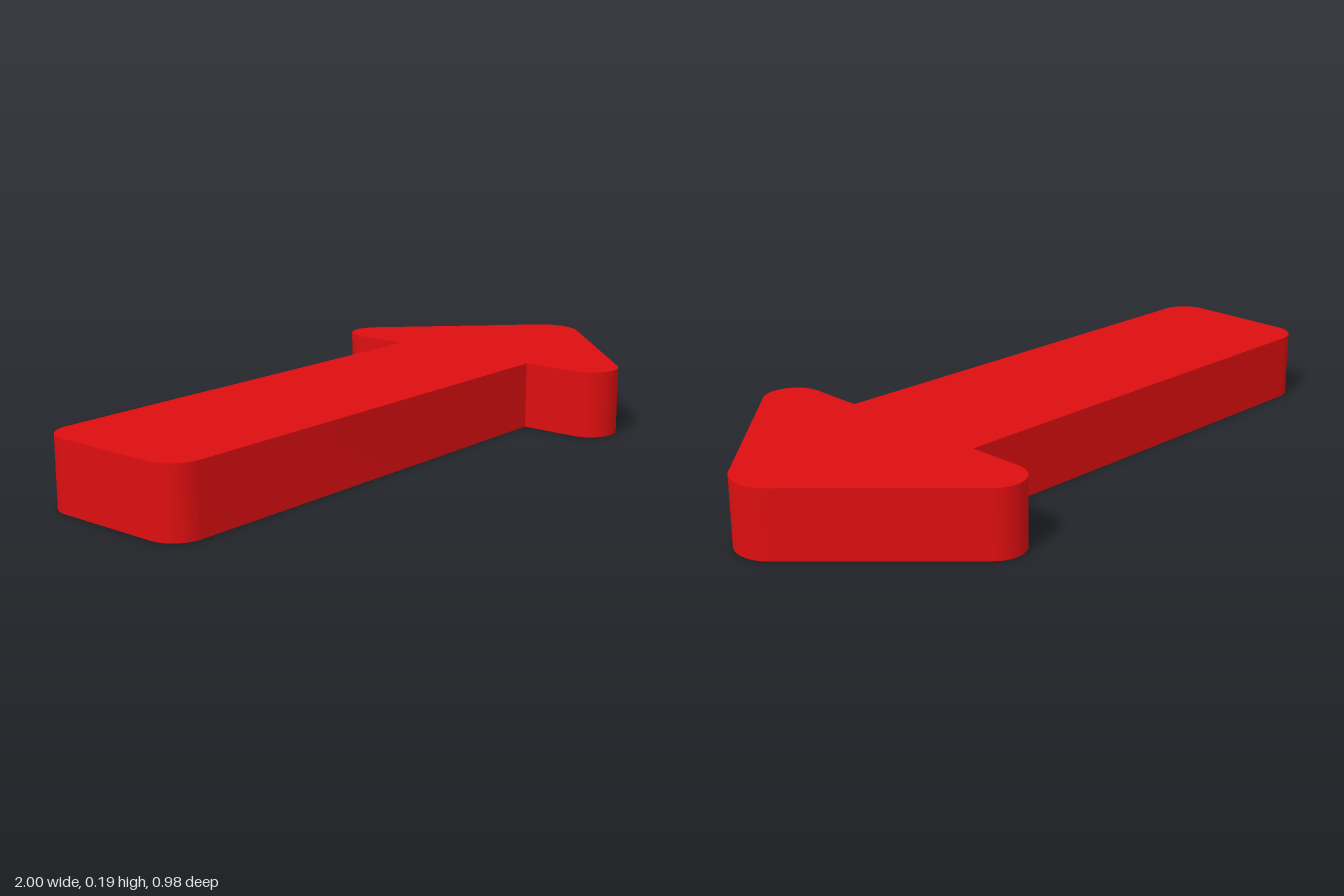
import * as THREE from 'three';
import { toCreasedNormals } from 'three/addons/utils/BufferGeometryUtils.js';

const HEIGHT = 0.195;
const SHAFT = { back: -1, half: 0.24, radius: 0.085 };
const HEAD = { back: 0.435, half: 0.49, radius: 0.085 };
const NOSE = { x: 0.891, radius: 0.109 };

// Counter-clockwise outline; each arc is joined to the next by a straight edge
function arrowOutline() {
  const { PI } = Math;
  const tailX = SHAFT.back + SHAFT.radius, tailY = SHAFT.half - SHAFT.radius;
  const barbX = HEAD.back + HEAD.radius, barbY = HEAD.half - HEAD.radius;
  const s = new THREE.Shape();
  s.moveTo(SHAFT.back, -tailY);
  s.absarc(tailX, -tailY, SHAFT.radius, PI, 1.5 * PI, false);
  s.lineTo(HEAD.back, -SHAFT.half);
  s.absarc(barbX, -barbY, HEAD.radius, PI, 1.75 * PI, false);
  s.absarc(NOSE.x, 0, NOSE.radius, -PI / 4, PI / 4, false);
  s.absarc(barbX, barbY, HEAD.radius, PI / 4, PI, false);
  s.lineTo(HEAD.back, SHAFT.half);
  s.absarc(tailX, tailY, SHAFT.radius, PI / 2, PI, false);
  s.closePath();
  return s;
}

export function createModel() {
  const group = new THREE.Group();
  group.name = 'arrow';

  // Flat slab laid on the ground, smooth around the rounded corners
  const slab = new THREE.ExtrudeGeometry(arrowOutline(), {
    depth: HEIGHT, bevelEnabled: false, curveSegments: 16,
  });
  slab.rotateX(-Math.PI / 2);

  const body = new THREE.Mesh(
    toCreasedNormals(slab, 0.6),
    new THREE.MeshStandardMaterial({ color: 0xdd0e10 }),
  );
  body.name = 'arrowBody';
  group.add(body);
  return group;
}
